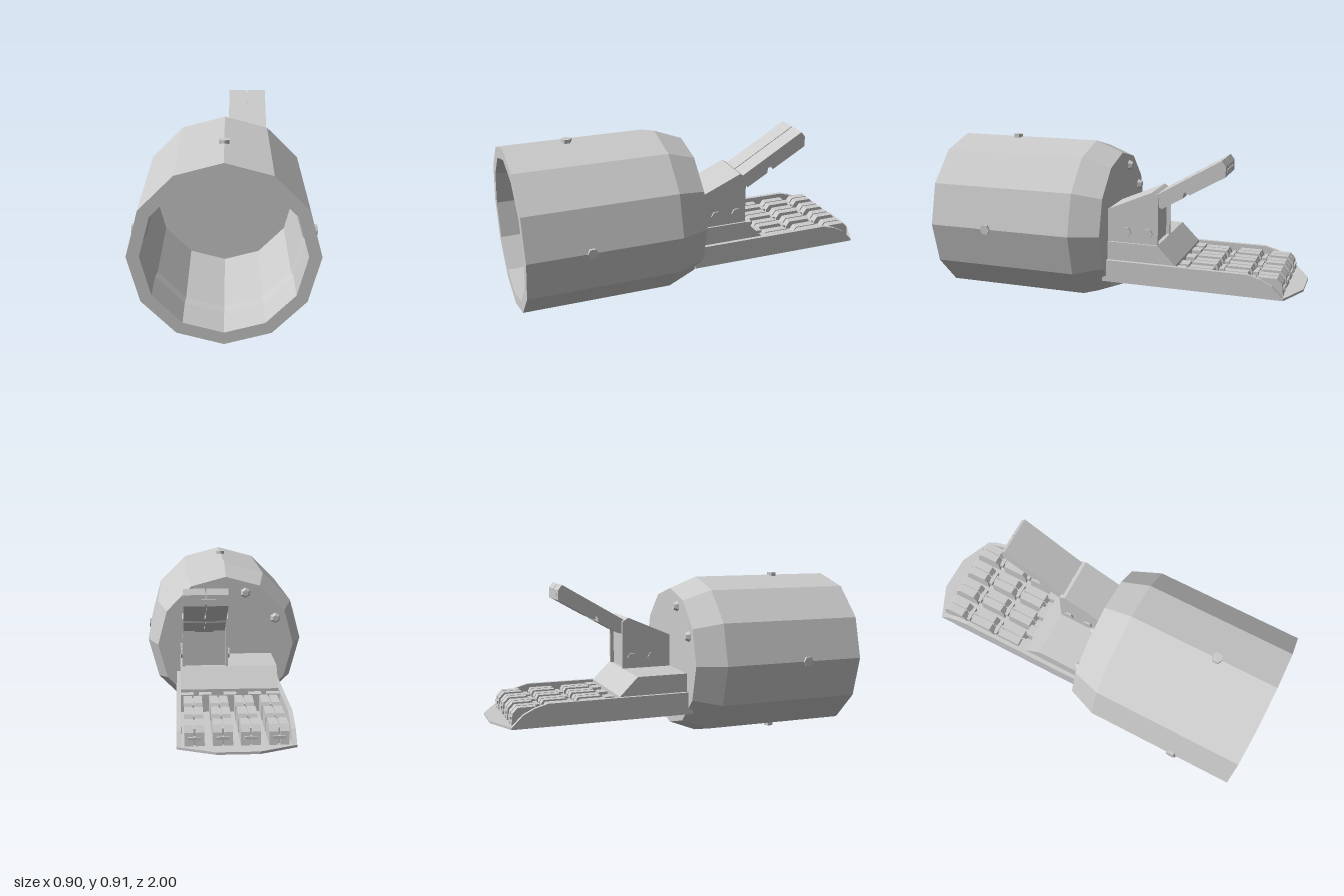
import * as THREE from 'three';

const mat = new THREE.MeshStandardMaterial({ color: 0xcccccc, flatShading: true });

function add(parent, name, geo, x = 0, y = 0, z = 0) {
  const m = new THREE.Mesh(geo, mat);
  m.name = name;
  m.position.set(x, y, z);
  parent.add(m);
  return m;
}

// Side profile of [z, y] points, extruded across x from x0 to x1
function slab(parent, name, pts, x0, x1) {
  const shape = new THREE.Shape(pts.map(([z, y]) => new THREE.Vector2(-z, y)));
  const geo = new THREE.ExtrudeGeometry(shape, { depth: x1 - x0, bevelEnabled: false });
  geo.rotateY(Math.PI / 2);
  return add(parent, name, geo, x0);
}

function box(parent, name, x0, x1, y0, y1, z0, z1) {
  return add(parent, name, new THREE.BoxGeometry(x1 - x0, y1 - y0, z1 - z0),
    (x0 + x1) / 2, (y0 + y1) / 2, (z0 + z1) / 2);
}

// Hexagonal bolt head whose axis points along dir
function bolt(parent, name, pos, dir, rTop = 0.028, r = 0.028, h = 0.016) {
  const m = add(parent, name, new THREE.CylinderGeometry(rTop, r, h, 6), ...pos);
  m.quaternion.setFromUnitVectors(new THREE.Vector3(0, 1, 0), new THREE.Vector3(...dir));
  return m;
}

export function createModel() {
  const model = new THREE.Group();
  model.name = 'mechanicalHand';
  const CY = 0.457;

  // Twelve-sided hollow cuff with a tapered, closed wrist end
  const profile = [[0, 0.035], [0.383, 0.035], [0.443, 0.19], [0.443, 1], [0.383, 1],
    [0.383, 0.8], [0.373, 0.76], [0.373, 0.19], [0, 0.19]];
  const cuff = new THREE.LatheGeometry(profile.map(p => new THREE.Vector2(...p)), 12);
  cuff.rotateX(Math.PI / 2);
  add(model, 'cuff', cuff, 0, CY, 0);

  // Cuff bolts on four sides
  for (const [x, y] of [[1, 0], [-1, 0], [0, 1], [0, -1]])
    bolt(model, 'cuffBolt', [x * 0.441, CY + y * 0.446, 0.67], [x, y, 0], 0.028, 0.028, 0.022);

  // Domed bolts on the wrist face
  for (const [x, y] of [[-0.11, 0.75], [-0.28, 0.605]])
    bolt(model, 'wristBolt', [x, y, 0.025], [0, 0, -1], 0.018, 0.031, 0.026);

  // Base plate with a clipped tip
  const outline = [[-0.28, -0.06], [0.28, -0.06], [0.28, 0.92], [0.1, 1], [-0.1, 1], [-0.28, 0.92]];
  const plate = new THREE.ExtrudeGeometry(
    new THREE.Shape(outline.map(p => new THREE.Vector2(...p))), { depth: 0.012, bevelEnabled: false });
  plate.rotateX(-Math.PI / 2);
  add(model, 'basePlate', plate, 0, 0.18, 0);

  // Side walls and palm
  const wall = [[0.06, 0.185], [0.06, 0.3], [-0.73, 0.3], [-0.8, 0.28], [-0.86, 0.25], [-0.92, 0.19]];
  slab(model, 'rightWall', wall, -0.28, -0.258);
  slab(model, 'leftWall', wall, 0.258, 0.28);
  slab(model, 'palm', [[0.06, 0.185], [0.06, 0.4], [-0.245, 0.4], [-0.345, 0.3], [-0.345, 0.185]], -0.258, 0.258);

  // Knuckle lugs between the fingers
  for (const x of [-0.225, -0.13, 0, 0.13, 0.225])
    box(model, 'knuckleLug', x - 0.033, x + 0.033, 0.19, 0.285, -0.395, -0.34);

  // Four fingers, each of three split segments with hinges between them
  for (const fx of [-0.197, -0.065, 0.065, 0.197]) {
    const finger = new THREE.Group();
    finger.name = 'finger';
    finger.position.x = fx;
    model.add(finger);
    const rows = [[-0.385, -0.545], [-0.58, -0.73], [-0.765, -0.915]];
    rows.forEach(([a, b], i) => {
      const tip = i === 2;
      const seg = tip
        ? [[a, 0.19], [a, 0.255], [a - 0.02, 0.283], [-0.88, 0.283], [-0.907, 0.255], [b, 0.19]]
        : [[a, 0.19], [a, 0.255], [a - 0.02, 0.283], [b + 0.01, 0.283], [b, 0.265], [b, 0.19]];
      for (const [x0, x1] of [[-0.047, -0.004], [0.004, 0.047]])
        slab(finger, 'fingerSegment', seg, x0, x1);
      box(finger, 'segmentCore', -0.006, 0.006, 0.19, 0.27, b + 0.02, a - 0.015);
      box(finger, 'hinge', -0.022, 0.022, 0.19, 0.255, a - 0.01, a + 0.05);
      if (i) box(finger, 'hingePin', -0.042, 0.042, 0.235, 0.262, a + 0.005, a + 0.025);
      if (tip) box(finger, 'fingertipRidge', -0.03, 0.03, 0.222, 0.235, b - 0.003, b + 0.03);
    });
  }

  // Thumb mount: core block between two side plates, with a sloping cover
  const mount = new THREE.Group();
  mount.name = 'thumbMount';
  model.add(mount);
  slab(mount, 'mountCore', [[0.04, 0.38], [0.04, 0.57], [-0.2, 0.66], [-0.225, 0.6], [-0.225, 0.38]], 0.015, 0.235);
  const side = [[0.04, 0.4], [0.04, 0.575], [-0.21, 0.683], [-0.245, 0.66], [-0.245, 0.4]];
  slab(mount, 'mountSide', side, 0.003, 0.018);
  slab(mount, 'mountSide', side, 0.232, 0.247);
  slab(mount, 'mountCover', [[0.04, 0.55], [0.04, 0.575], [-0.21, 0.683], [-0.245, 0.66], [-0.23, 0.62], [-0.2, 0.65]], 0.003, 0.247);
  for (const z of [-0.19, -0.07]) {
    bolt(mount, 'mountBolt', [0.248, 0.46, z], [1, 0, 0]);
    bolt(mount, 'mountBolt', [0.002, 0.46, z], [-1, 0, 0]);
  }

  // Raised thumb: two split halves with a notched underside at the joint
  const thumb = new THREE.Group();
  thumb.name = 'thumb';
  model.add(thumb);
  const half = [[-0.222, 0.665], [-0.575, 0.873], [-0.597, 0.845], [-0.597, 0.79], [-0.41, 0.682],
    [-0.4, 0.702], [-0.38, 0.692], [-0.375, 0.663], [-0.26, 0.597]];
  slab(thumb, 'thumbHalf', half, 0.022, 0.128);
  slab(thumb, 'thumbHalf', half, 0.134, 0.24);
  slab(thumb, 'thumbCore', [[-0.23, 0.66], [-0.57, 0.858], [-0.59, 0.8], [-0.4, 0.705], [-0.26, 0.61]], 0.126, 0.136);
  slab(thumb, 'thumbHinge', [[-0.19, 0.65], [-0.25, 0.67], [-0.285, 0.615], [-0.2, 0.57]], 0.08, 0.18);
  slab(thumb, 'jointPin', [[-0.37, 0.68], [-0.4, 0.71], [-0.412, 0.69], [-0.385, 0.672]], 0.07, 0.19);
  box(thumb, 'thumbTipRidge', 0.06, 0.2, 0.808, 0.825, -0.601, -0.58);

  // Bolts under the base plate
  for (const [x, z] of [[0.15, -0.285], [-0.15, -0.285], [0, -0.01]])
    bolt(model, 'plateBolt', [x, 0.178, z], [0, -1, 0]);

  return model;
}
